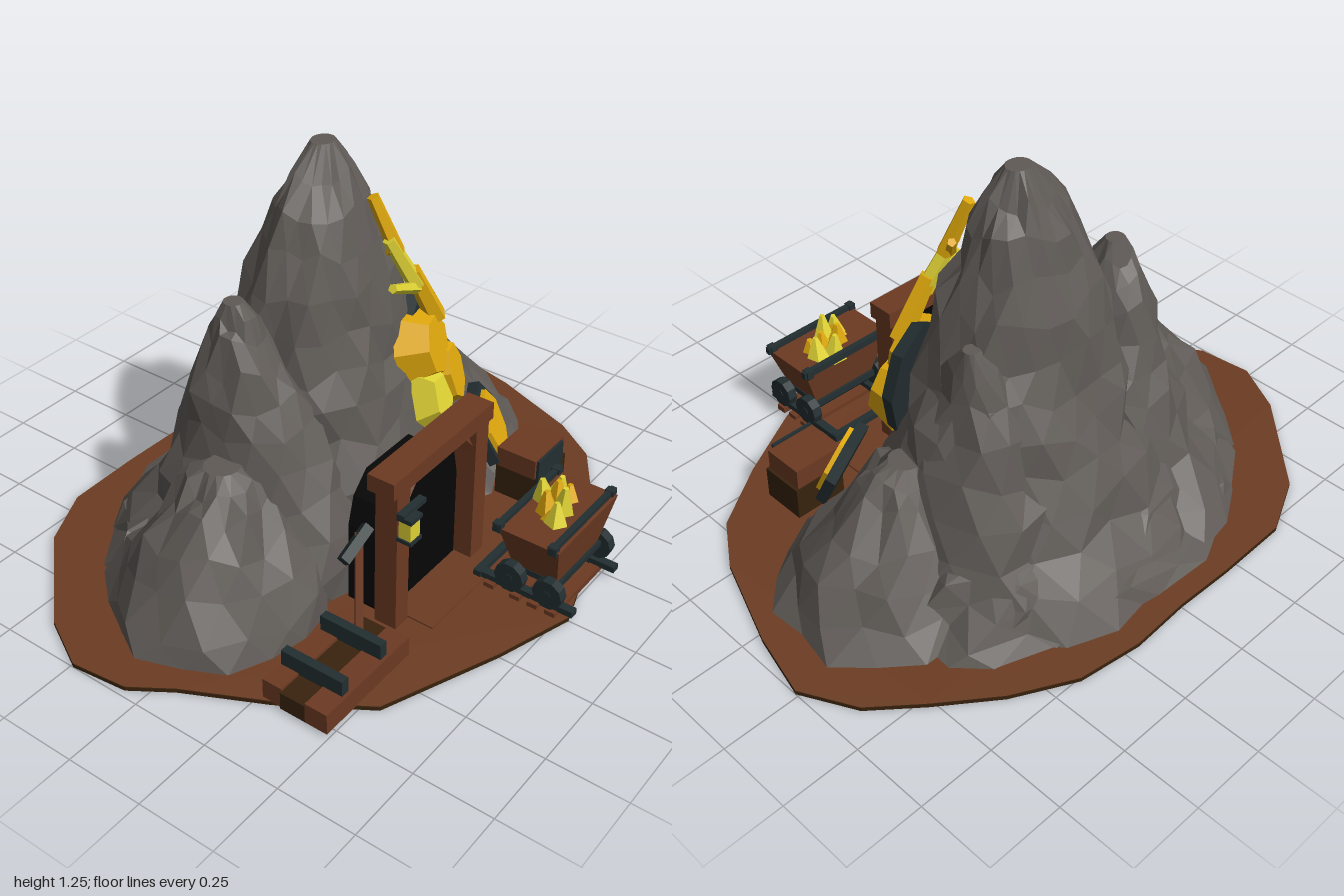
import * as THREE from 'three';

const V = (p) => new THREE.Vector3(...p);
const mat = (name, color) =>
  Object.assign(new THREE.MeshStandardMaterial({ color, flatShading: true }), { name });

export function createModel() {
  const root = new THREE.Group();
  const rock = mat('rock grey', 0x5f5a56), soil = mat('soil brown', 0x6c3d23), wood = mat('wood brown', 0x6c3a23);
  const darkWood = mat('dark wood', 0x38220d), iron = mat('iron', 0x232e31), black = mat('tunnel black', 0x070707);
  const gold = mat('gold', 0xe0a90c), pale = mat('pale gold', 0xdfd234);

  let seed = 7;
  const rand = () => ((seed = (seed * 16807) % 2147483647) / 2147483647) * 2 - 1;

  const add = (name, geo, material, pos = [0, 0, 0]) => {
    const m = new THREE.Mesh(geo, material);
    m.name = name;
    m.position.set(...pos);
    root.add(m);
    return m;
  };
  // box given by its extents on each axis
  const block = (name, material, [x0, x1], [y0, y1], [z0, z1]) =>
    add(name, new THREE.BoxGeometry(x1 - x0, y1 - y0, z1 - z0), material,
      [(x0 + x1) / 2, (y0 + y1) / 2, (z0 + z1) / 2]);
  // prism running from a to b
  const rod = (name, material, a, b, r0, r1 = r0, sides = 4) => {
    const d = V(b).sub(V(a));
    const m = add(name, new THREE.CylinderGeometry(r1, r0, d.length(), sides), material,
      V(a).add(V(b)).multiplyScalar(0.5).toArray());
    m.quaternion.setFromUnitVectors(new THREE.Vector3(0, 1, 0), d.normalize());
    return m;
  };
  // faceted slab facing along a normal
  const slab = (name, material, pos, normal, rx, ry, depth, sides, bevel) => {
    const m = add(name, new THREE.CylinderGeometry(bevel, 1, 1, sides).rotateX(Math.PI / 2), material, pos);
    m.scale.set(rx, ry, depth);
    m.lookAt(V(pos).add(V(normal)));
  };

  // ground plate
  const outline = [[-1, -.24], [-.91, -.41], [-.64, -.69], [-.45, -.78], [-.2, -.785], [0, -.78], [.2, -.79], [.41, -.76],
    [.6, -.66], [.77, -.53], [.91, -.41], [1, -.24], [.95, -.03], [.84, .27], [.74, .42], [.53, .56], [.29, .69],
    [0, .78], [-.25, .7], [-.62, .55], [-.78, .3], [-.9, .06], [-.98, -.06]];
  const plate = new THREE.Shape(outline.map(([x, z]) => new THREE.Vector2(x, -z)));
  add('groundBase', new THREE.ExtrudeGeometry(plate, { depth: 0.012, bevelEnabled: false }).rotateX(-Math.PI / 2), darkWood);
  add('groundTop', new THREE.ShapeGeometry(plate).rotateX(-Math.PI / 2), soil, [0, 0.015, 0]);
  block('path', soil, [-.28, .3], [.012, .02], [.3, .49]);

  // rock masses: rings of [y, left, right, back, front] extents, roughened
  const crag = (name, rings, sides, rough) => {
    const fine = [];
    rings.forEach((r, i) => {
      fine.push(r);
      if (i < rings.length - 1) fine.push(r.map((v, k) => (v + rings[i + 1][k]) / 2));
    });
    const pos = [], index = [];
    fine.forEach(([y, x0, x1, z0, z1], i) => {
      const cx = (x0 + x1) / 2, cz = (z0 + z1) / 2;
      const edge = i === 0 || i === fine.length - 1;
      for (let s = 0; s < sides; s++) {
        const a = ((s + (i % 2) * 0.5) / sides) * Math.PI * 2;
        const k = 1 + rand() * rough * (i === 0 ? 0.2 : 1);
        pos.push(cx + Math.cos(a) * (x1 - x0) / 2 * k, y + (edge ? 0 : rand() * 0.03), cz + Math.sin(a) * (z1 - z0) / 2 * k);
      }
    });
    for (let i = 0; i < fine.length - 1; i++) for (let s = 0; s < sides; s++) {
      const a = i * sides + s, b = i * sides + (s + 1) % sides, c = a + sides, d = b + sides;
      if (i % 2) index.push(a, b, d, a, d, c);
      else index.push(a, b, c, b, d, c);
    }
    const top = pos.length / 3;
    const [y, x0, x1, z0, z1] = rings[0];
    pos.push((x0 + x1) / 2, y, (z0 + z1) / 2);
    for (let s = 0; s < sides; s++) index.push(top, (s + 1) % sides, s);
    const g = new THREE.BufferGeometry();
    g.setAttribute('position', new THREE.Float32BufferAttribute(pos, 3));
    g.setIndex(index);
    const flat = g.toNonIndexed();
    flat.computeVertexNormals();
    add(name, flat, rock);
  };
  crag('mainPeak', [[1.255, .02, .1, -.19, -.12], [1.08, -.12, .2, -.28, -.03], [.86, -.21, .29, -.34, .04],
    [.62, -.27, .37, -.4, .09], [.42, -.33, .43, -.46, .14], [.2, -.4, .5, -.56, .23], [.012, -.45, .55, -.74, .32]], 20, .085);
  crag('leftPeak', [[.88, -.33, -.27, -.23, -.17], [.78, -.37, -.21, -.28, -.11], [.6, -.44, -.14, -.36, -.02],
    [.42, -.47, -.08, -.42, .08], [.2, -.54, -.04, -.52, .17], [.012, -.6, .02, -.67, .23]], 14, .09);
  crag('rightPeak', [[.81, .28, .33, -.25, -.2], [.66, .17, .37, -.33, -.08], [.42, .1, .44, -.42, .06],
    [.2, .1, .54, -.5, .14], [.012, .1, .64, -.57, .25]], 12, .09);
  crag('leftMound', [[.45, -.53, -.42, -.17, -.06], [.36, -.64, -.3, -.26, .03], [.17, -.79, -.22, -.38, .15],
    [.012, -.86, -.2, -.46, .23]], 16, .09);
  crag('rightMound', [[.43, .41, .5, -.15, -.05], [.35, .28, .6, -.22, .03], [.16, .2, .78, -.36, .15],
    [.012, .2, .89, -.44, .24]], 16, .09);
  crag('backMound', [[.36, -.25, .3, -.38, -.25], [.22, -.45, .46, -.51, -.12], [.1, -.56, .58, -.62, -.05],
    [.012, -.64, .67, -.72, 0]], 20, .08);

  // tunnel: a lining at the rock and a dark panel between the posts
  const arch = (name, w, h, z, depth) => {
    const half = [[w, .015], [w, h * .65], [w * .87, h * .86], [w * .55, h]];
    const pts = [...half, ...half.map(([x, y]) => [-x, y]).reverse()].map((p) => new THREE.Vector2(...p));
    add(name, new THREE.ExtrudeGeometry(new THREE.Shape(pts), { depth, bevelEnabled: false }), black, [-.12, 0, z]);
  };
  arch('tunnelLining', .19, .436, .21, .115);
  arch('tunnelDark', .168, .495, .335, .008);

  // timber portal
  block('leftPost', wood, [-.345, -.285], [.01, .5], [.33, .405]);
  block('rightPost', wood, [.05, .115], [.01, .5], [.33, .405]);
  block('lintel', wood, [-.37, .13], [.495, .55], [.32, .41]);
  rod('leftBrace', wood, [-.3, .41, .37], [-.22, .5, .37], .025);
  rod('rightBrace', wood, [.07, .41, .37], [-.01, .5, .37], .025);

  // lantern
  block('lanternArm', iron, [-.35, -.24], [.425, .44], [.405, .43]);
  block('lanternGlass', pale, [-.345, -.3], [.355, .42], [.41, .45]);
  block('lanternCap', iron, [-.35, -.295], [.418, .432], [.405, .455]);
  block('lanternFoot', iron, [-.35, -.295], [.345, .357], [.405, .455]);

  // leaning pickaxe
  rod('pickHandle', wood, [-.46, .03, .36], [-.38, .34, .3], .016);
  rod('pickHead', iron, [-.46, .295, .305], [-.345, .345, .305], .022);

  // ore slabs set in the rock
  slab('upperOreRim', iron, [.275, .545, .05], [.2, .1, .97], .135, .205, .04, 8, .95);
  const upper = [.3, .25, .9];
  slab('upperOre', gold, [.215, .59, .1], upper, .125, .135, .1, 7, .7);
  slab('middleOre', gold, [.295, .46, .12], upper, .085, .135, .1, 7, .7);
  slab('paleOre', pale, [.18, .445, .17], [.1, .3, .9], .08, .135, .07, 5, .6);
  const lower = [.42, .4, .8];
  slab('lowerOreRim', iron, [.44, .215, .205], lower, .13, .15, .035, 7, .97);
  slab('lowerOre', gold, [.444, .22, .216], lower, .105, .122, .04, 7, .94);

  // vein of crystals climbing the slope
  [[gold, [.28, .66, .1], [.19, .85, .07], .035], [pale, [.2, .8, .08], [.12, .97, .035], .028],
    [pale, [.2, .79, .08], [.05, .86, .1], .02], [gold, [.15, .92, .045], [.105, 1.1, -.012], .026],
    [gold, [.13, .92, .04], [.18, 1.0, -.02], .018]]
    .forEach(([m, a, b, r]) => rod('veinCrystal', m, a, b, r, r * .75, 5));

  // rails and sleepers
  for (const x of [0, .25]) block('rail', iron, [x - .014, x + .014], [.028, .048], [.46, .795]);
  for (const z of [.52, .61, .67, .73]) block('sleeper', wood, [-.03, .28], [.01, .03], [z - .017, z + .017]);
  block('railStop', iron, [-.02, .26], [.03, .05], [.46, .485]);

  // mine cart: tapered tub
  const tub = new THREE.BoxGeometry(1, .15, 1), p = tub.attributes.position;
  for (let i = 0; i < p.count; i++) {
    const up = p.getY(i) > 0;
    p.setXYZ(i, p.getX(i) * (up ? .345 : .24), p.getY(i), p.getZ(i) * (up ? .2 : .15));
  }
  tub.computeVertexNormals();
  add('cartTub', tub, wood, [.122, .195, .655]);
  for (const z of [.552, .735]) {
    block('cartRimBar', iron, [-.06, .305], [.262, .286], [z - .009, z + .009]);
    for (const x of [-.045, .285]) block('cartRimBolt', iron, [x - .012, x + .012], [.258, .288], [z - .014, z + .014]);
  }
  block('cartFrame', iron, [0, .245], [.1, .12], [.57, .74]);
  for (const z of [.59, .72]) {
    rod('axle', iron, [-.04, .093, z], [.285, .093, z], .014, .014, 6);
    for (const x of [-.022, .267]) rod('wheel', iron, [x - .016, .093, z], [x + .016, .093, z], .049, .049, 10);
  }

  // ore heap in the cart
  [[pale, .07, .675, .08], [gold, .1, .63, .085], [pale, .13, .66, .105], [gold, .165, .625, .085], [pale, .2, .605, .08],
    [pale, .15, .59, .085], [gold, .08, .655, .06], [gold, .19, .645, .06]]
    .forEach(([m, x, z, h]) => rod('cartOre', m, [x, .25, z], [x + rand() * .015, .255 + h, z + rand() * .015], .045, .009, 5));

  // timber stack with iron straps
  block('backPlank', wood, [-.78, -.41], [.012, .08], [.27, .335]);
  block('middlePlank', darkWood, [-.785, -.405], [.012, .07], [.335, .42]);
  block('frontPlank', wood, [-.785, -.405], [.012, .08], [.42, .495]);
  for (const x of [-.69, -.515]) block('strap', iron, [x - .014, x + .014], [.075, .13], [.275, .485]);

  // chest
  block('chestBase', darkWood, [.385, .565], [.012, .125], [.28, .43]);
  block('chestLid', wood, [.38, .555], [.125, .195], [.285, .425]);
  block('chestPlate', iron, [.38, .53], [.105, .198], [.43, .439]);

  return root;
}
